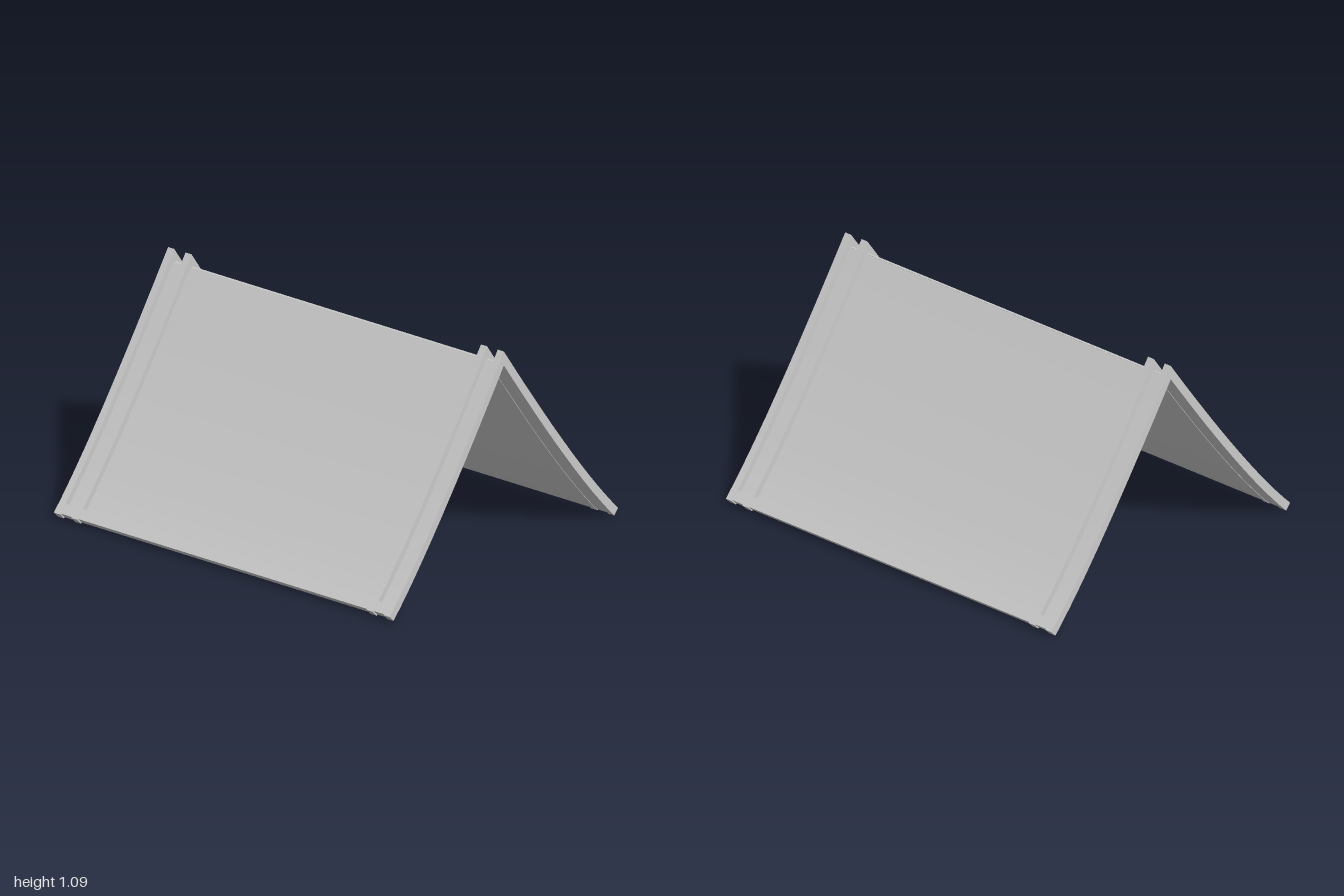
import * as THREE from 'three';

const material = new THREE.MeshStandardMaterial({ color: 0xcccccc, flatShading: true });

// Centre line of one roof slope, from the ridge down to the eave
const slope = new THREE.QuadraticBezierCurve(
  new THREE.Vector2(0, 1.054), new THREE.Vector2(0.54, 0.3), new THREE.Vector2(0.829, 0.015));

// Point on the slope, moved by d along the upward normal
function offsetPoint(t, d) {
  const p = slope.getPoint(t);
  const tan = slope.getTangent(t);
  return new THREE.Vector2(p.x - tan.y * d, p.y + tan.x * d);
}

// Closed outline of a strip following the slope: outer edge down, inner edge back up
function band(t0, t1, inner, outer, steps) {
  const edge = d => Array.from({ length: steps + 1 }, (_, i) => offsetPoint(t0 + (t1 - t0) * i / steps, d));
  return [...edge(outer), ...edge(inner).reverse()];
}

const mirrorX = pts => pts.map(p => new THREE.Vector2(-p.x, p.y)).reverse();

function extrude(name, points, z0, z1) {
  const geometry = new THREE.ExtrudeGeometry(new THREE.Shape(points), { depth: z1 - z0, bevelEnabled: false });
  geometry.translate(0, 0, z0);
  const mesh = new THREE.Mesh(geometry, material);
  mesh.name = name;
  return mesh;
}

export function createModel() {
  const group = new THREE.Group();
  group.name = 'roof';

  // Gable ribs: chevrons mitred at the ridge, two at either end
  const thickness = 0.0205;
  const half = band(0, 1, -thickness, thickness, 12);
  const rise = thickness / slope.getTangent(0).x;
  half[0].set(0, 1.054 + rise);
  half[half.length - 1].set(0, 1.054 - rise);
  const chevron = [...half, ...mirrorX(half).slice(1, -1)];
  for (const [z0, z1] of [[0.963, 1], [0.863, 0.9], [-0.896, -0.86], [-1, -0.963]]) {
    group.add(extrude('gableRib', chevron, z0, z1));
  }

  // Thin curved panels and the raised boards along the eaves
  const panel = band(0.0145, 0.99, -0.0185, -0.01, 12);
  const board = band(0.93, 0.993, -0.0175, 0.0185, 2);
  for (const [word, place] of [['left', pts => pts], ['right', mirrorX]]) {
    group.add(extrude(word + 'RoofPanel', place(panel), -0.98, 0.98));
    group.add(extrude(word + 'EaveBoard', place(board), -0.98, 0.98));
  }
  return group;
}
